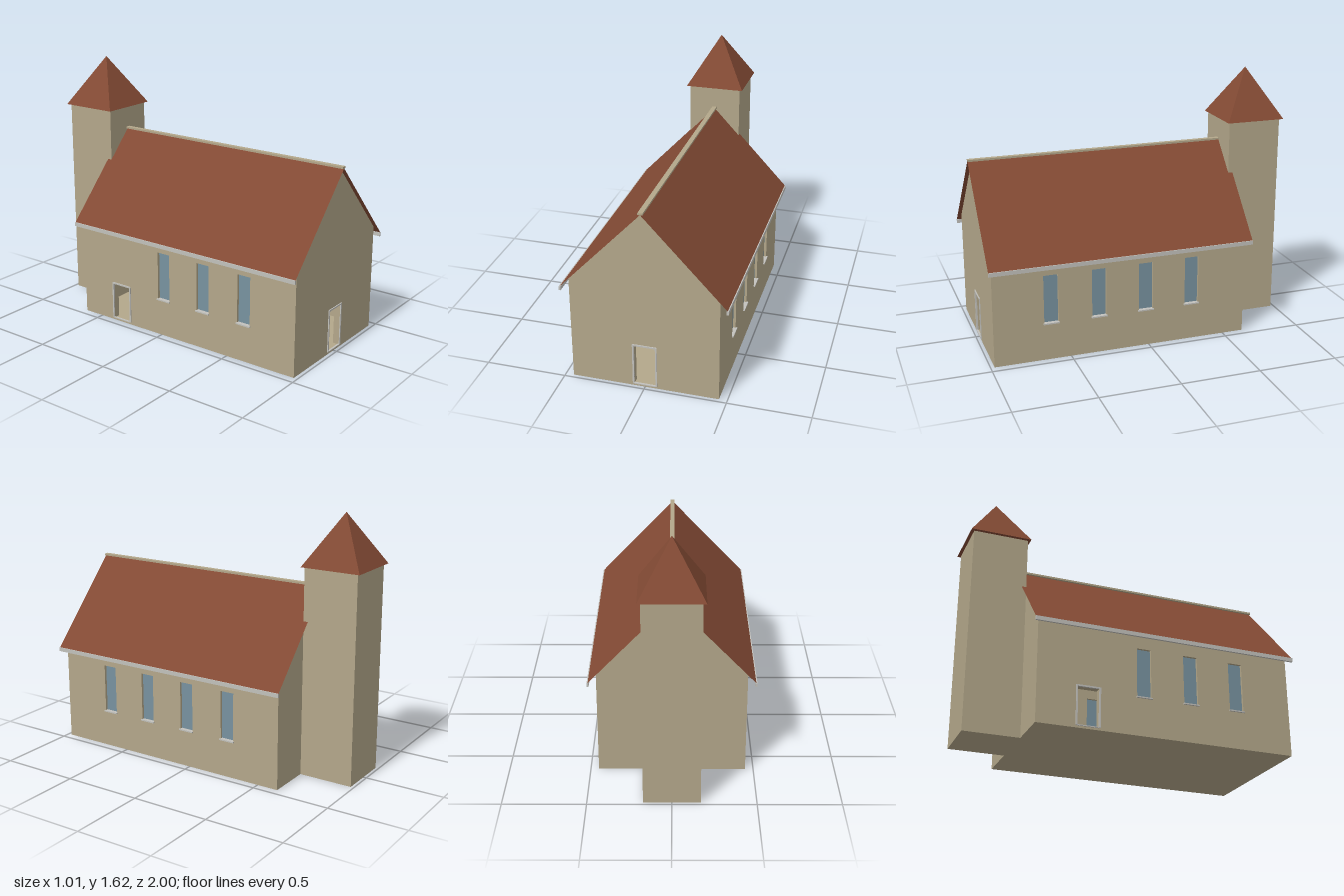
import * as THREE from 'three';

const mat = (name, color) => {
  const m = new THREE.MeshStandardMaterial({ color });
  m.name = name;
  return m;
};

export function createModel() {
  const plaster = mat('plaster', 0xb3a78a);
  const tile = mat('roof tile', 0x834a34);
  const trim = mat('pale trim', 0xc2c1bc);
  const glass = mat('window glass', 0x78929f);
  tile.side = THREE.DoubleSide;

  const group = new THREE.Group();
  const add = (name, geo, material, x = 0, y = 0, z = 0, parent = group) => {
    const mesh = new THREE.Mesh(geo, material);
    mesh.name = name;
    mesh.position.set(x, y, z);
    parent.add(mesh);
    return mesh;
  };
  const box = (name, material, w, h, d, x, y, z, parent) =>
    add(name, new THREE.BoxGeometry(w, h, d), material, x, y, z, parent);

  const W = 0.45, T = 0.04, EAVE = 0.67, APEX = 1.15, FRONT = 0.976, BACK = -0.636;
  const rectHole = (u, v0, v1, w) => new THREE.Path([
    [u - w / 2, v0], [u - w / 2, v1], [u + w / 2, v1], [u + w / 2, v0],
  ].map(p => new THREE.Vector2(...p)));
  const wall = (points, holes) => {
    const s = new THREE.Shape(points.map(p => new THREE.Vector2(...p)));
    s.holes.push(...holes);
    return new THREE.ExtrudeGeometry(s, { depth: T, bevelEnabled: false });
  };

  // Gable walls, the front one with an open doorway
  const gable = [[-W, 0], [W, 0], [W, EAVE], [0, APEX], [-W, EAVE]];
  add('frontWall', wall(gable, [rectHole(0, 0.015, 0.28, 0.13)]), plaster, 0, 0, FRONT - T);
  add('backWall', wall(gable, []), plaster, 0, 0, BACK);

  // Side walls: four windows on the left, three windows and a doorway on the right
  const zs = [0.62, 0.32, 0.02, -0.28], doorZ = -0.325;
  const z0 = BACK + T, z1 = FRONT - T;
  for (const side of [1, -1]) {
    const windows = side > 0 ? zs : zs.slice(0, 3);
    const holes = windows.map(z => rectHole(z, 0.235, 0.545, 0.09));
    if (side < 0) holes.push(rectHole(doorZ, 0.015, 0.25, 0.13));
    const geo = wall([[z0, 0], [z1, 0], [z1, EAVE], [z0, EAVE]], holes).rotateY(-Math.PI / 2);
    add(side > 0 ? 'leftWall' : 'rightWall', geo, plaster, side > 0 ? W : -W + T);
    for (const z of windows) {
      box('windowPane', glass, 0.008, 0.31, 0.09, side * (W - 0.02), 0.39, z);
      box('windowSill', trim, 0.03, 0.008, 0.1, side * (W - 0.005), 0.236, z);
    }
    // Gutter along the eave
    box('gutter', trim, 0.012, 0.025, 1.665, side * 0.498, 0.612, 0.1675);
  }
  box('floor', plaster, 2 * (W - T), 0.015, z1 - z0, 0, 0.0075, (z0 + z1) / 2);

  // Door frames
  const doorFrame = (name, height) => {
    const f = new THREE.Group();
    f.name = name;
    for (const s of [-1, 1]) box('jamb', trim, 0.01, height, 0.012, s * 0.07, 0.015 + height / 2, 0, f);
    box('lintel', trim, 0.15, 0.01, 0.012, 0, 0.02 + height, 0, f);
    box('threshold', trim, 0.13, 0.006, 0.012, 0, 0.016, 0, f);
    group.add(f);
    return f;
  };
  doorFrame('frontDoorFrame', 0.265).position.z = FRONT;
  const sideFrame = doorFrame('sideDoorFrame', 0.235);
  sideFrame.position.set(-W, 0, doorZ);
  sideFrame.rotation.y = -Math.PI / 2;

  // Thin roof slopes, overhanging the walls
  const run = 0.5, rise = 0.533, slope = Math.hypot(run, rise);
  for (const side of [1, -1]) {
    const geo = new THREE.PlaneGeometry(slope, 1.665).rotateX(-Math.PI / 2);
    const roof = add('roofSlope', geo, tile, side * run / 2, 1.155 - rise / 2, 0.1675);
    roof.rotation.z = -side * Math.atan2(rise, run);
  }
  box('ridgeCap', plaster, 0.03, 0.012, 1.64, 0, 1.16, 0.18);

  // Tower with pyramid roof
  box('tower', plaster, 0.34, 1.3, 0.344, 0, 0.65, -0.808);
  const spire = new THREE.ConeGeometry(0.19 * Math.SQRT2, 0.315, 4).rotateY(Math.PI / 4).toNonIndexed();
  spire.computeVertexNormals();
  add('towerRoof', spire, tile, 0, 1.4585, -0.81);

  return group;
}
